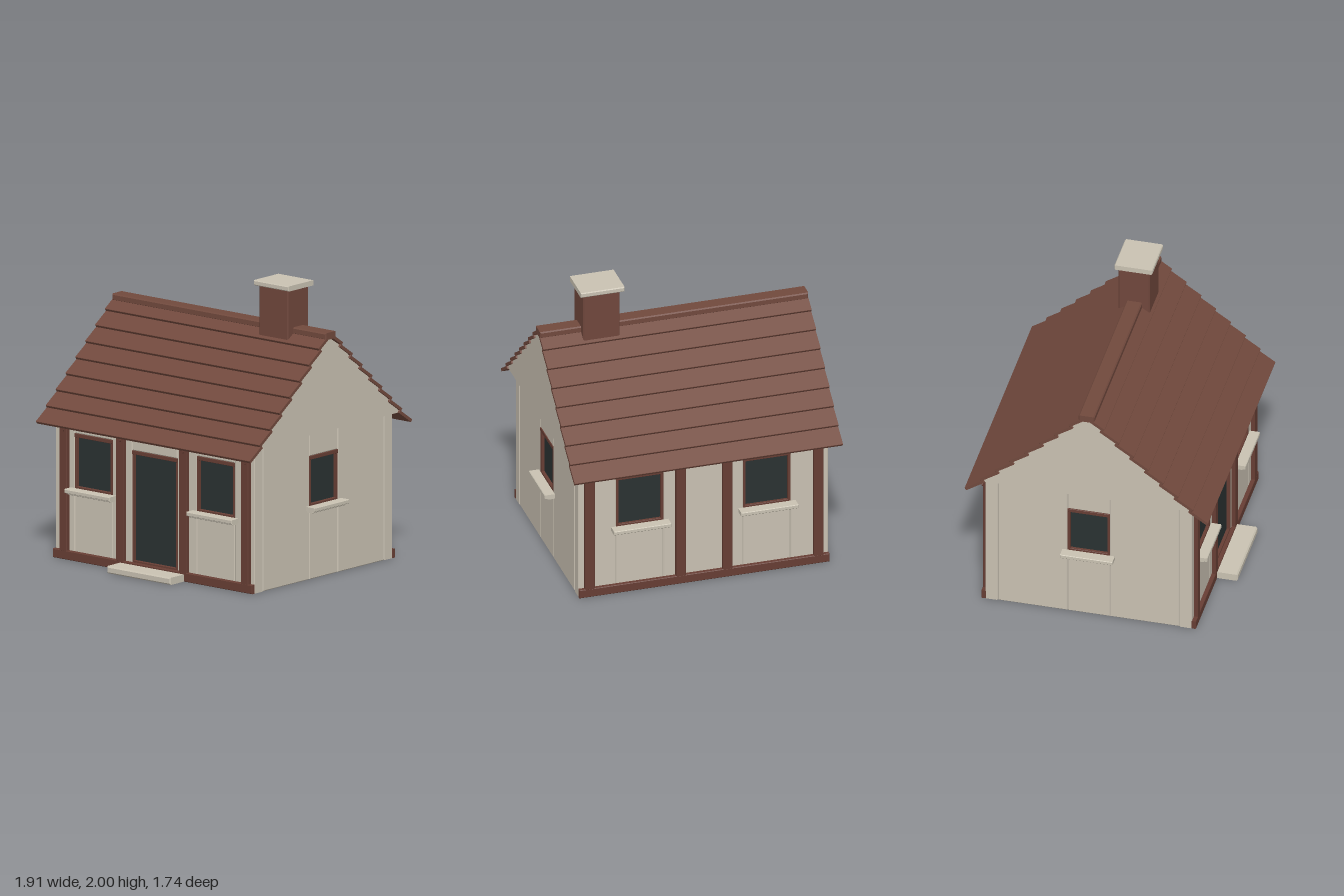
import * as THREE from 'three';

const mat = (name, color) => {
  const m = new THREE.MeshStandardMaterial({ color });
  m.name = name;
  return m;
};

export function createModel() {
  const plaster = mat('plaster', 0xc9c1b2);
  const stone = mat('stone', 0xc9c2b2);
  const tile = mat('roof tile', 0x71493d);
  const brick = mat('chimney brick', 0x70473c);
  const timber = mat('timber', 0x673e34);
  const glass = mat('dark glass', 0x2a3232);

  const MID = -0.02;  // depth of the ridge line
  const THICK = 0.088; // wall thickness
  const house = new THREE.Group();
  house.name = 'cottage';

  // Box with chamfered edges, given by its extents on each axis
  function box(parent, name, m, [x0, x1], [y0, y1], [z0, z1], bevel = 0.004) {
    const w = x1 - x0 - 2 * bevel, h = y1 - y0 - 2 * bevel, d = z1 - z0 - 2 * bevel;
    const s = new THREE.Shape();
    s.moveTo(0, 0).lineTo(w, 0).lineTo(w, h).lineTo(0, h).closePath();
    const mesh = new THREE.Mesh(new THREE.ExtrudeGeometry(s, {
      depth: d, bevelSize: bevel, bevelThickness: bevel, bevelSegments: 1,
    }), m);
    mesh.position.set(x0 + bevel, y0 + bevel, z0 + bevel);
    mesh.name = name;
    parent.add(mesh);
    return mesh;
  }

  // Wall facing local +z: chamfered panels set edge to edge around the openings
  function wall(name, half, openings, seams = []) {
    const g = new THREE.Group();
    g.name = name;
    const edges = [-half, half, ...seams];
    openings.forEach((o) => edges.push(o.x - o.w / 2, o.x + o.w / 2));
    edges.sort((a, b) => a - b);
    for (let i = 0; i < edges.length - 1; i++) {
      const span = [edges[i], edges[i + 1]];
      const mid = (span[0] + span[1]) / 2;
      const o = openings.find((p) => Math.abs(p.x - mid) < p.w / 2);
      const rows = o ? [[0, o.y0], [o.y1, 1.02]] : [[0, 1.02]];
      rows.forEach((r) => box(g, 'wallPanel', plaster, span, r, [-THICK, 0], 0.006));
    }
    house.add(g);
    return g;
  }

  // Timber frame on all sides of an opening
  function frame(g, o, t, head) {
    const a = o.x - o.w / 2, b = o.x + o.w / 2, depth = [-0.06, 0];
    box(g, 'frameJamb', timber, [a, a + t], [o.y0, o.y1], depth, 0.002);
    box(g, 'frameJamb', timber, [b - t, b], [o.y0, o.y1], depth, 0.002);
    box(g, 'frameHead', timber, [a, b], [o.y1 - head, o.y1], [-0.06, 0.003], 0.002);
    box(g, 'frameFoot', timber, [a, b], [o.y0, o.y0 + t], depth, 0.002);
  }

  function addWindow(g, o) {
    const a = o.x - o.w / 2, b = o.x + o.w / 2;
    frame(g, o, 0.018, 0.026);
    box(g, 'windowPane', glass, [a + 0.001, b - 0.001], [o.y0 + 0.001, o.y1 - 0.001],
      [-THICK + 0.003, -0.022], 0.001);
    box(g, 'windowSill', stone, [a - 0.035, b + 0.035], [o.y0 - 0.023, o.y0 + 0.005], [-0.01, 0.072]);
    box(g, 'sillDrip', stone, [a - 0.025, b + 0.025], [o.y0 - 0.036, o.y0 - 0.02], [-0.01, 0.05]);
  }

  // Ground beam, posts and pegs on a long wall
  function timbers(g, posts) {
    box(g, 'groundBeam', timber, [-0.885, 0.885], [0, 0.062], [-0.004, 0.028]);
    for (const x of posts) {
      box(g, 'timberPost', timber, [x - 0.034, x + 0.034], [0.055, 0.985], [-0.01, 0.028]);
      const peg = new THREE.Mesh(new THREE.CylinderGeometry(0.015, 0.015, 0.025, 8), timber);
      peg.name = 'timberPeg';
      peg.rotation.x = Math.PI / 2;
      peg.position.set(x, 0.9, 0.028);
      g.add(peg);
    }
  }

  const opening = (x, w, y0, y1) => ({ x, w, y0, y1 });

  // Front wall with the door between two windows
  const frontWindows = [-0.545, 0.54].map((x) => opening(x, 0.335, 0.495, 0.88));
  const door = opening(-0.002, 0.4, 0.06, 0.836);
  const front = wall('frontWall', 0.885, [...frontWindows, door]);
  front.position.z = 0.7;
  frontWindows.forEach((o) => addWindow(front, o));
  frame(front, door, 0.014, 0.026);
  box(front, 'doorPane', glass, [-0.195, 0.19], [0.065, 0.82], [-0.05, -0.022]);
  box(front, 'doorBack', timber, [-0.201, 0.197], [0.061, 0.835], [-THICK + 0.003, -0.05]);
  timbers(front, [-0.796, -0.292, 0.267, 0.817]);
  box(front, 'doorstep', stone, [-0.285, 0.28], [0, 0.05], [-0.004, 0.17], 0.009);

  // Back wall with two windows
  const backWindows = [-0.45, 0.45].map((x) => opening(x, 0.335, 0.495, 0.88));
  const back = wall('backWall', 0.885, backWindows);
  back.position.z = -0.74;
  back.rotation.y = Math.PI;
  backWindows.forEach((o) => addWindow(back, o));
  timbers(back, [-0.81, -0.165, 0.165, 0.81]);

  // Side walls between the long walls, one small window each
  for (const side of [-1, 1]) {
    const o = opening(0, 0.295, 0.505, 0.855);
    const g = wall(side > 0 ? 'leftWall' : 'rightWall', 0.72 - THICK, [o]);
    g.position.set(side * 0.885, 0, MID);
    g.rotation.y = side * Math.PI / 2;
    addWindow(g, o);
  }

  // Gables, filled right up to the underside of the tiles
  const outline = new THREE.Shape();
  outline.moveTo(-0.722, 1.018).lineTo(0.722, 1.018).lineTo(0.72, 1.033).lineTo(0.11, 1.589)
    .lineTo(0, 1.658).lineTo(-0.11, 1.589).lineTo(-0.72, 1.033).closePath();
  const gable = new THREE.Mesh(
    new THREE.ExtrudeGeometry(outline, { depth: 1.876, bevelEnabled: false }), plaster);
  gable.name = 'gables';
  gable.rotation.y = Math.PI / 2;
  gable.position.set(-0.938, 0, MID);
  house.add(gable);

  // Overlapping tile courses on both slopes
  const pitch = 0.59, length = 0.155, thick = 0.021;
  for (const side of [-1, 1]) {
    const slope = new THREE.Group();
    slope.name = side > 0 ? 'frontRoof' : 'backRoof';
    slope.position.z = MID;
    slope.rotation.y = side > 0 ? 0 : Math.PI;
    for (let i = 0; i < 8; i++) {
      const course = new THREE.Group(); // pivots on the lower edge
      course.name = 'tileCourse';
      const reach = i < 7 ? length : 0.13;
      box(course, 'tiles', tile, [-0.95, 0.95], [0, thick], [-reach, 0], 0.002);
      course.rotation.x = pitch;
      course.position.set(0, 0.932 + 0.094 * i, 0.838 - 0.103 * i);
      slope.add(course);
    }
    house.add(slope);
  }
  box(house, 'ridgeCap', tile, [-0.95, 0.95], [1.652, 1.7], [MID - 0.055, MID + 0.055], 0.008);

  // Chimney
  box(house, 'chimneyStack', brick, [0.402, 0.66], [1.5, 1.966], [-0.13, 0.088], 0.008);
  box(house, 'chimneyCap', stone, [0.375, 0.685], [1.964, 2], [-0.153, 0.112], 0.006);

  return house;
}
